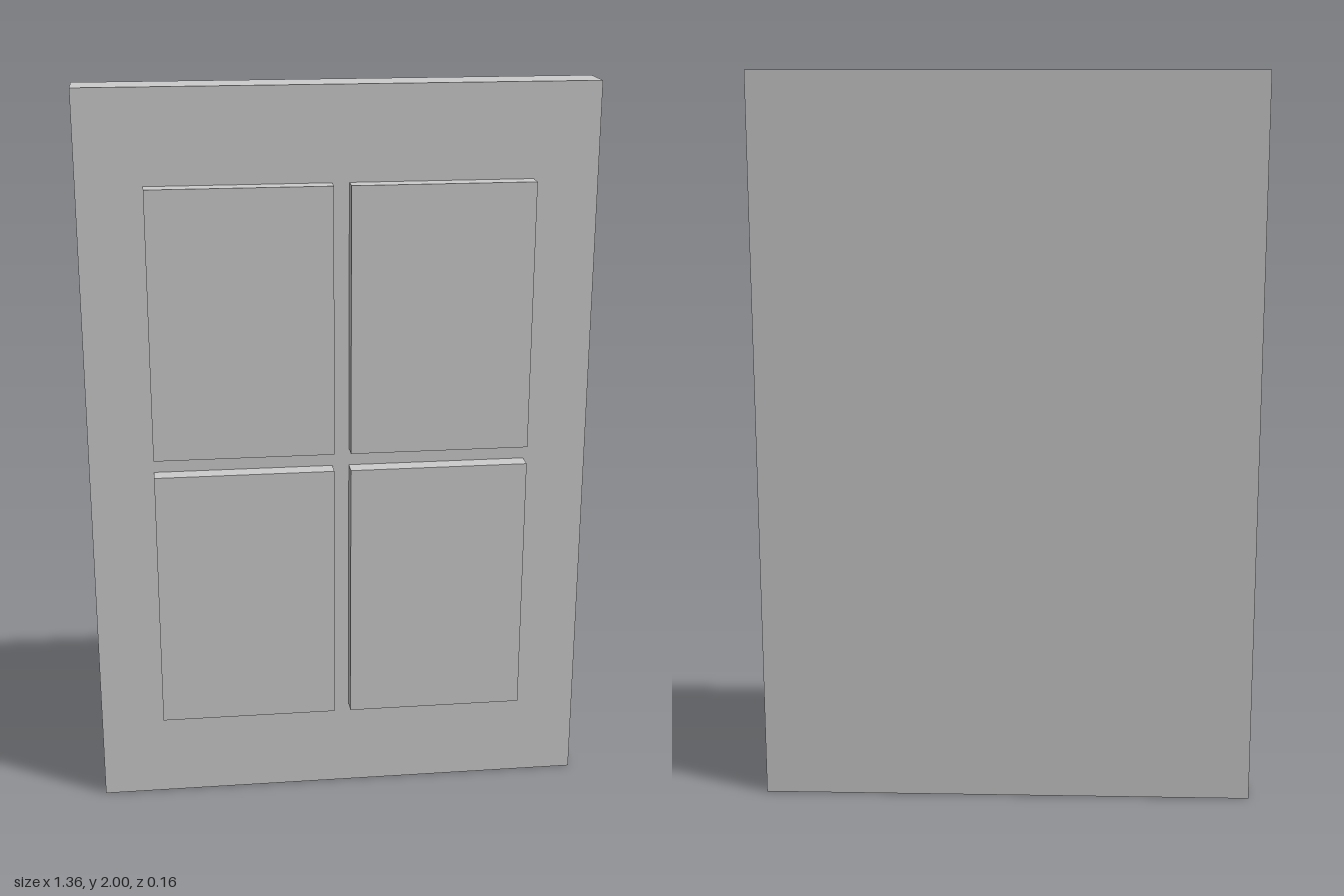
import * as THREE from 'three';

export function createModel() {
  const model = new THREE.Group();
  model.name = 'panelledDoor';
  const material = new THREE.MeshStandardMaterial({ color: 0xcccccc });

  // Box placed by its centre in x and y and by its back and front in z
  function addBox(name, x, y, width, height, back, front) {
    const mesh = new THREE.Mesh(new THREE.BoxGeometry(width, height, front - back), material);
    mesh.name = name;
    mesh.position.set(x, y, (back + front) / 2);
    model.add(mesh);
  }

  const slabFront = 0.034;
  const depth = 0.082;

  // Main slab
  addBox('slab', 0, 1, 1.36, 2, -depth, slabFront);

  // Four raised panels on the front, two by two
  for (const [row, sy] of [['upper', 1], ['lower', -1]]) {
    for (const [side, sx] of [['Left', 1], ['Right', -1]]) {
      addBox(`${row}${side}Panel`, sx * 0.265, 1 + sy * 0.387, 0.485, 0.726, slabFront, depth);
    }
  }

  return model;
}
